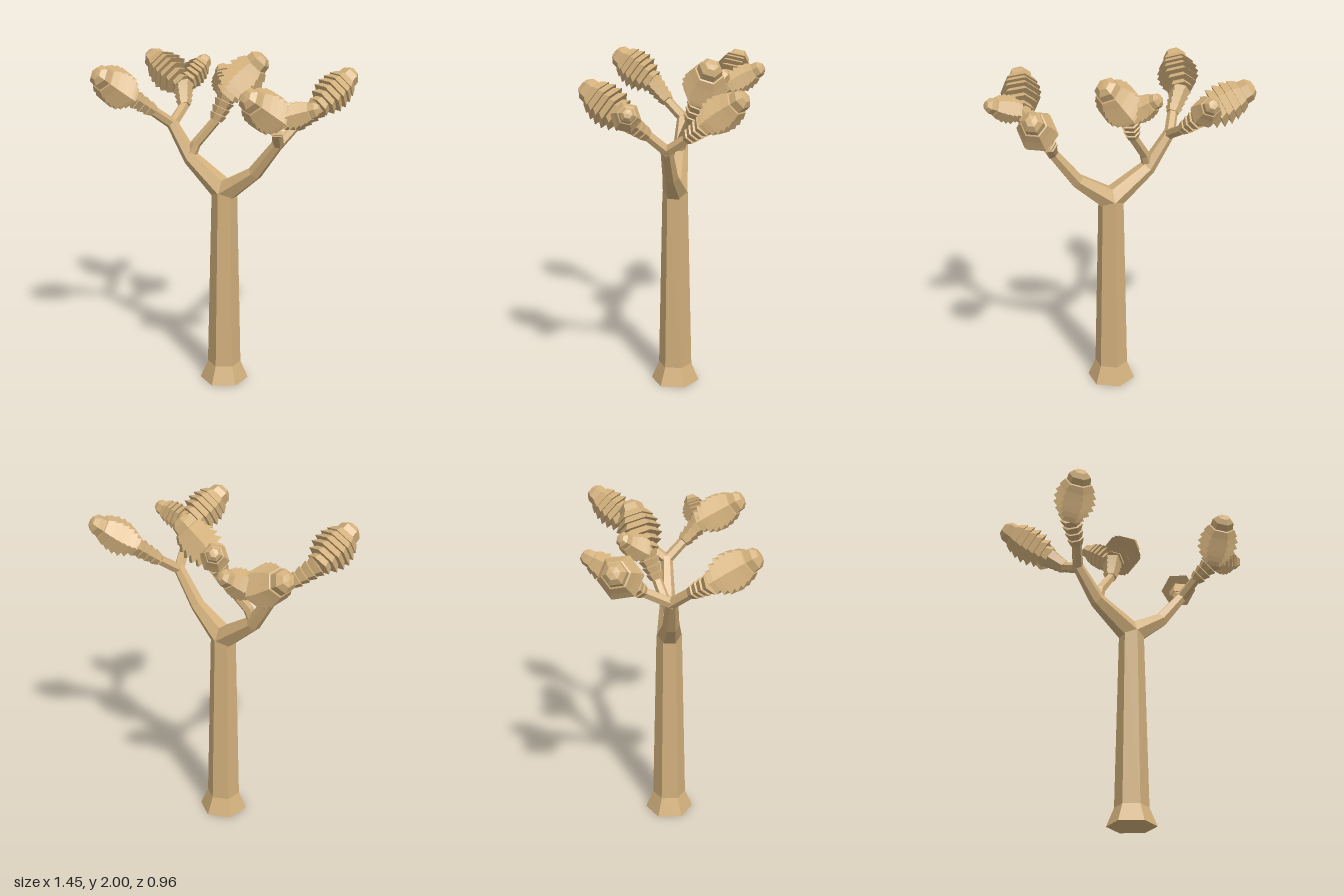
import * as THREE from 'three';

const V = (p) => new THREE.Vector3(...p);
const bark = new THREE.MeshStandardMaterial({ color: 0xd2b07c, flatShading: true, side: THREE.DoubleSide });

function addMesh(parent, name, geometry) {
  const mesh = new THREE.Mesh(geometry, bark);
  mesh.name = name;
  parent.add(mesh);
  return mesh;
}

// Six-sided lathe from [radius, height] pairs
function hexLathe(profile) {
  return new THREE.LatheGeometry(profile.map(([r, y]) => new THREE.Vector2(r, y)), 6);
}

// Six-sided tapered limb swept through points, one radius per point
function limb(points, radii) {
  const pts = points.map(V), pos = [], idx = [], n = 6;
  pts.forEach((p, i) => {
    const dir = pts[Math.min(i + 1, pts.length - 1)].clone().sub(pts[Math.max(i - 1, 0)]).normalize();
    const a = new THREE.Vector3(0, 0, 1).addScaledVector(dir, -dir.z).normalize();
    const b = dir.clone().cross(a);
    for (let k = 0; k < n; k++) {
      const t = (k / n) * Math.PI * 2;
      const q = p.clone().addScaledVector(a, Math.cos(t) * radii[i]).addScaledVector(b, Math.sin(t) * radii[i]);
      pos.push(q.x, q.y, q.z);
    }
  });
  for (let i = 0; i < pts.length - 1; i++) {
    for (let k = 0; k < n; k++) {
      const a = i * n + k, b = i * n + ((k + 1) % n);
      idx.push(a, b, b + n, a, b + n, a + n);
    }
  }
  const g = new THREE.BufferGeometry();
  g.setAttribute('position', new THREE.Float32BufferAttribute(pos, 3));
  g.setIndex(idx);
  g.computeVertexNormals();
  return g;
}

// Place a lathe built along +y so it runs from one point toward another
function aim(mesh, from, to) {
  const dir = V(to).sub(V(from)).normalize();
  mesh.position.copy(V(from));
  mesh.quaternion.setFromUnitVectors(new THREE.Vector3(0, 1, 0), dir);
}

// Shaggy stem: short collars that flare toward the tip
function addStem(parent, from, to) {
  const len = V(from).distanceTo(V(to)), count = 4, profile = [[0, 0]];
  for (let i = 0; i < count; i++) {
    const r = 0.05 + 0.006 * i;
    profile.push([r * 0.72, (len * i) / count], [r, (len * (i + 0.9)) / count]);
  }
  profile.push([0, len]);
  aim(addMesh(parent, 'shaggyStem', hexLathe(profile)), from, to);
}

// Leaf head: stacked skirts narrowing toward the tip, closed by a faceted bud
function addHead(parent, from, to, radius) {
  const len = V(from).distanceTo(V(to)), count = 6, step = (len * 0.76) / count, profile = [[0, 0]];
  const swell = [0.62, 0.82, 0.96, 1, 0.96, 0.84];
  for (let i = 0; i < count; i++) {
    const r = radius * swell[i];
    profile.push([r, step * i], [r * 0.76, step * (i + 1)]);
  }
  profile.push([radius * 0.56, len * 0.77], [radius * 0.52, len * 0.9], [radius * 0.3, len * 0.985], [0, len]);
  aim(addMesh(parent, 'leafHead', hexLathe(profile)), from, to);
}

export function createModel() {
  const tree = new THREE.Group();
  tree.name = 'branchingDesertTree';

  // Trunk with flared foot
  const trunk = addMesh(tree, 'trunk', hexLathe([[0, 0], [0.145, 0], [0.1, 0.11], [0.075, 1.2], [0, 1.2]]));
  trunk.position.x = 0.025;

  // Two main limbs and the inner limb
  const leftFork = [0.385, 1.545, 0], rightFork = [-0.345, 1.575, 0];
  addMesh(tree, 'leftLimb', limb([[0.025, 1.2, 0], [0.23, 1.345, 0], leftFork], [0.073, 0.045, 0.034]));
  addMesh(tree, 'rightLimb', limb([[0.025, 1.2, 0], [-0.205, 1.37, 0], rightFork], [0.073, 0.048, 0.034]));

  // Each crown: twig path, top of the shaggy stem, and its heads [tip, radius]
  const crowns = [
    { name: 'leftFrontCrown', twig: [[0.375, 1.525, -0.01], [0.425, 1.63, 0.1]], top: [0.495, 1.73, 0.21],
      heads: [[[0.425, 1.9, 0.455], 0.125], [[0.715, 1.81, 0.155], 0.085]] },
    { name: 'leftBackCrown', twig: [[0.375, 1.525, 0.01], [0.42, 1.62, -0.12]], top: [0.51, 1.72, -0.23],
      heads: [[[0.625, 1.9, -0.45], 0.112]] },
    { name: 'rightFrontCrown', twig: [[-0.335, 1.555, -0.01], [-0.4, 1.65, 0.1]], top: [-0.495, 1.75, 0.21],
      heads: [[[-0.55, 1.92, 0.45], 0.127]] },
    { name: 'rightBackCrown', twig: [[-0.335, 1.555, 0.01], [-0.355, 1.64, -0.16]], top: [-0.425, 1.74, -0.255],
      heads: [[[-0.715, 1.9, -0.315], 0.125], [[-0.39, 1.88, -0.48], 0.088]] },
    { name: 'innerCrown', twig: [[-0.2, 1.4, 0], [-0.18, 1.46, -0.015], [-0.08, 1.6, -0.075]], top: [-0.035, 1.75, -0.135],
      heads: [[[0.155, 1.98, -0.225], 0.13], [[-0.165, 1.88, -0.28], 0.085]] },
  ];
  for (const { name, twig, top, heads } of crowns) {
    const crown = new THREE.Group();
    crown.name = name;
    tree.add(crown);
    addMesh(crown, 'twig', limb(twig, twig.map((_, i) => 0.033 - 0.002 * i)));
    const stemBase = twig[twig.length - 1];
    addStem(crown, stemBase, top);
    for (const [tip, radius] of heads) addHead(crown, top, tip, radius);
  }
  return tree;
}
